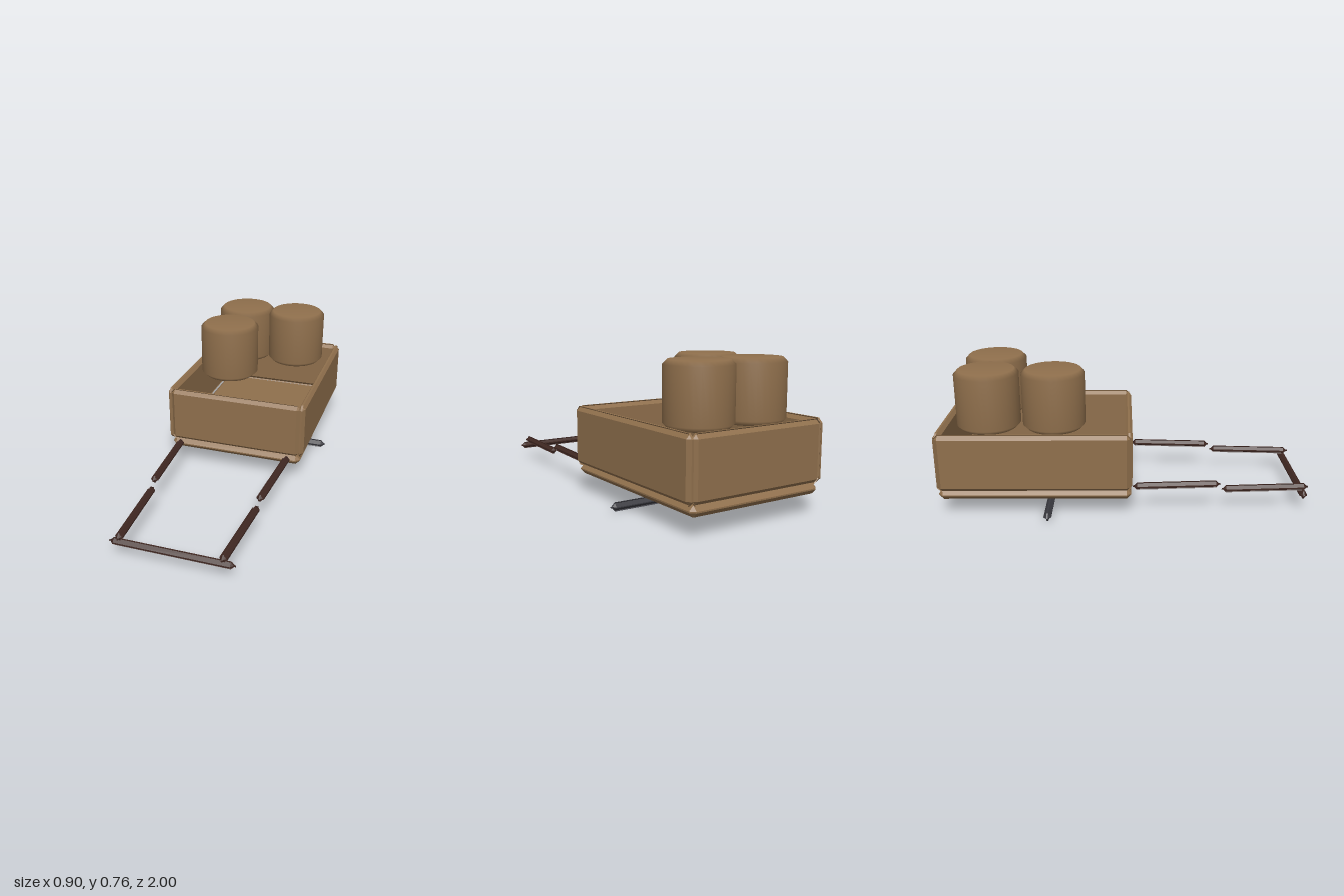
import * as THREE from 'three';

const wood = new THREE.MeshStandardMaterial({ color: 0x8f6f4c, side: THREE.DoubleSide });
wood.name = 'wood';
const darkWood = new THREE.MeshStandardMaterial({ color: 0x402822, side: THREE.DoubleSide });
darkWood.name = 'darkWood';
const iron = new THREE.MeshStandardMaterial({ color: 0x3a3a40, side: THREE.DoubleSide });
iron.name = 'iron';

const CHAMFER = 0.024;

// Box with wide 45 degree chamfers. On thin parts the chamfers cross, leaving narrow flared tips.
function chamferBox(hx, hy, hz, c = CHAMFER) {
  const half = [hx, hy, hz];
  const positions = [];
  const point = ([axis, signs], size, cut) =>
    new THREE.Vector3(...signs.map((s, i) => s * (size[i] - (i === axis ? 0 : cut))));
  const addPolygon = (corners) => {
    // Winding is decided on a regular chamfered cube
    const ref = corners.map((k) => point(k, [1, 1, 1], 0.3));
    const normal = ref[1].clone().sub(ref[0]).cross(ref[2].clone().sub(ref[0]));
    if (normal.dot(ref[0]) < 0) corners = [...corners].reverse();
    const p = corners.map((k) => point(k, half, c));
    for (let i = 1; i < p.length - 1; i++) {
      for (const v of [p[0], p[i], p[i + 1]]) positions.push(v.x, v.y, v.z);
    }
  };
  const signsOf = (a, sa, b, sb, d, sd) => {
    const s = [0, 0, 0];
    s[a] = sa; s[b] = sb; s[d] = sd;
    return s;
  };
  for (let a = 0; a < 3; a++) {
    const b = (a + 1) % 3, d = (a + 2) % 3;
    for (const s of [-1, 1]) {
      // Flat face
      addPolygon([[-1, -1], [1, -1], [1, 1], [-1, 1]].map(([u, v]) => [a, signsOf(a, s, b, u, d, v)]));
      // Edge strips between the faces of axes a and b
      for (const t of [-1, 1]) {
        const lo = signsOf(a, s, b, t, d, -1), hi = signsOf(a, s, b, t, d, 1);
        addPolygon([[a, lo], [a, hi], [b, hi], [b, lo]]);
      }
    }
  }
  // Corner triangles
  for (const x of [-1, 1]) for (const y of [-1, 1]) for (const z of [-1, 1]) {
    addPolygon([0, 1, 2].map((axis) => [axis, [x, y, z]]));
  }
  const geometry = new THREE.BufferGeometry();
  geometry.setAttribute('position', new THREE.Float32BufferAttribute(positions, 3));
  geometry.computeVertexNormals();
  return geometry;
}

export function createModel() {
  const model = new THREE.Group();
  model.name = 'handcart';

  const add = (name, geometry, material, x, y, z) => {
    const mesh = new THREE.Mesh(geometry, material);
    mesh.name = name;
    mesh.position.set(x, y, z);
    model.add(mesh);
    return mesh;
  };

  // Cart bed and four walls
  const bedZ = -0.48;
  add('floor', chamferBox(0.386, 0.0275, 0.512), wood, 0, 0.1285, bedZ);
  const sideWall = chamferBox(0.0185, 0.16, 0.512);
  add('leftWall', sideWall, wood, 0.387, 0.314, bedZ);
  add('rightWall', sideWall, wood, -0.387, 0.314, bedZ);
  const endWall = chamferBox(0.386, 0.16, 0.0185);
  add('frontWall', endWall, wood, 0, 0.314, bedZ + 0.5);
  add('backWall', endWall, wood, 0, 0.314, bedZ - 0.5);

  // Three barrels with bevelled rims
  const r = 0.171, h = 0.16, b = 0.023;
  const profile = [[0, -h], [r - b, -h], [r, -h + b], [r, h - b], [r - b, h], [0, h]];
  const barrel = new THREE.LatheGeometry(profile.map(([x, y]) => new THREE.Vector2(x, y)), 32);
  for (const [x, z] of [[-0.163, -0.738], [0.162, -0.738], [-0.163, -0.384]]) {
    add('barrel', barrel, wood, x, 0.605, z);
  }

  // Axle under the bed
  add('axle', chamferBox(0.449, 0.0225, 0.0205, 0.025), iron, 0, 0.0225, -0.415);

  // Pull handle: two stepped shafts on each side and a crossbar
  const shaft = chamferBox(0.02, 0.02, 0.2375);
  for (const side of [-1, 1]) {
    add('rearShaft', shaft, darkWood, side * 0.307, 0.154, 0.277).rotation.y = -side * 0.06;
    add('frontShaft', shaft, darkWood, side * 0.276, 0.123, 0.761).rotation.y = -side * 0.06;
  }
  add('crossbar', chamferBox(0.32, 0.02, 0.02), darkWood, 0, 0.088, 0.968);

  return model;
}
